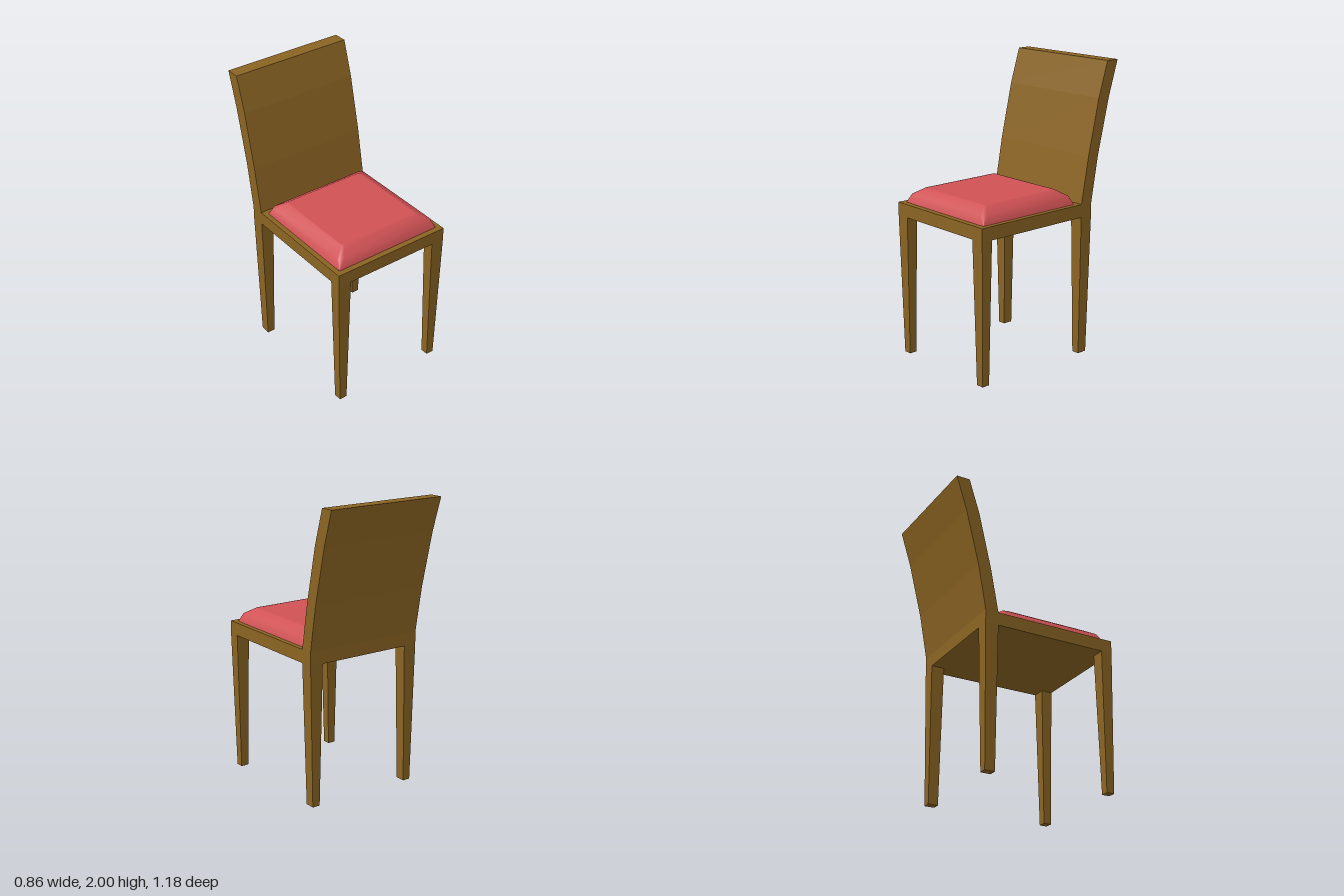
import * as THREE from 'three';

const wood = new THREE.MeshStandardMaterial({ color: 0x8b6423 });
wood.name = 'wood';
const fabric = new THREE.MeshStandardMaterial({ color: 0xcf5154 });
fabric.name = 'redFabric';

const SEAT_BOTTOM = 0.975, SEAT_TOP = 1.065, HALF_WIDTH = 0.43;

function part(name, geometry, material) {
  const mesh = new THREE.Mesh(geometry, material);
  mesh.name = name;
  return mesh;
}

// Side profile of [z, y] points, extruded across the full width
function sideExtrusion(points) {
  const shape = new THREE.Shape(points.map(([z, y]) => new THREE.Vector2(-z, y)));
  const geo = new THREE.ExtrudeGeometry(shape, { depth: HALF_WIDTH * 2, bevelEnabled: false });
  return geo.translate(0, 0, -HALF_WIDTH).rotateY(Math.PI / 2);
}

// Square leg narrowing towards the floor
function taperedLeg(topX, topZ, footX, footZ) {
  const geo = new THREE.BoxGeometry(topX, SEAT_BOTTOM, topZ).translate(0, SEAT_BOTTOM / 2, 0);
  const p = geo.attributes.position;
  for (let i = 0; i < p.count; i++) {
    if (p.getY(i) < 0.01) {
      p.setX(i, p.getX(i) * footX / topX);
      p.setZ(i, p.getZ(i) * footZ / topZ);
    }
  }
  geo.computeVertexNormals();
  return geo;
}

// Soft pad: stacked rounded squares [half size, height, corner radius]
function padGeometry(rings) {
  const steps = 3, count = 4 * (steps + 1), pos = [], index = [];
  for (const [half, y, r] of rings) {
    for (let c = 0; c < 4; c++) {
      for (let s = 0; s <= steps; s++) {
        const a = (c + s / steps) * Math.PI / 2;
        const sx = c < 2 ? 1 : -1, sz = c === 0 || c === 3 ? 1 : -1;
        pos.push(sx * (half - r) + Math.sin(a) * r, y, sz * (half - r) + Math.cos(a) * r);
      }
    }
  }
  for (let k = 0; k < rings.length - 1; k++) {
    for (let j = 0; j < count; j++) {
      const a = k * count + j, b = k * count + (j + 1) % count;
      index.push(a, b, b + count, a, b + count, a + count);
    }
  }
  // Flat top fan
  const centre = pos.length / 3, last = (rings.length - 1) * count;
  pos.push(0, rings[rings.length - 1][1], 0);
  for (let j = 0; j < count; j++) index.push(last + j, last + (j + 1) % count, centre);
  const geo = new THREE.BufferGeometry();
  geo.setAttribute('position', new THREE.Float32BufferAttribute(pos, 3));
  geo.setIndex(index);
  geo.computeVertexNormals();
  return geo;
}

export function createModel() {
  const chair = new THREE.Group();
  chair.name = 'chair';

  // Seat board and gently curved backrest in one profile
  chair.add(part('seatAndBackrest', sideExtrusion([
    [0.59, SEAT_BOTTOM], [0.59, SEAT_TOP], [-0.275, SEAT_TOP],
    [-0.333, 1.38], [-0.42, 1.76], [-0.495, 2],
    [-0.59, 2], [-0.515, 1.76], [-0.423, 1.38],
    [-0.367, SEAT_TOP], [-0.367, SEAT_BOTTOM],
  ]), wood));

  // Legs, mirrored left and right
  for (const [side, sign] of [['left', 1], ['right', -1]]) {
    const front = part(side + 'FrontLeg', taperedLeg(0.095, 0.08, 0.055, 0.055), wood);
    front.position.set(sign * 0.3825, 0, 0.55);
    const back = part(side + 'BackLeg', taperedLeg(0.095, 0.092, 0.055, 0.07), wood);
    back.position.set(sign * 0.3825, 0, -0.321);
    chair.add(front, back);
  }

  // Upholstered cushion
  const cushion = part('cushion', padGeometry([
    [0.396, SEAT_TOP, 0.006], [0.376, 1.122, 0.03],
    [0.308, 1.165, 0.02], [0.295, 1.165, 0.015],
  ]), fabric);
  cushion.position.z = 0.155;
  chair.add(cushion);

  return chair;
}
